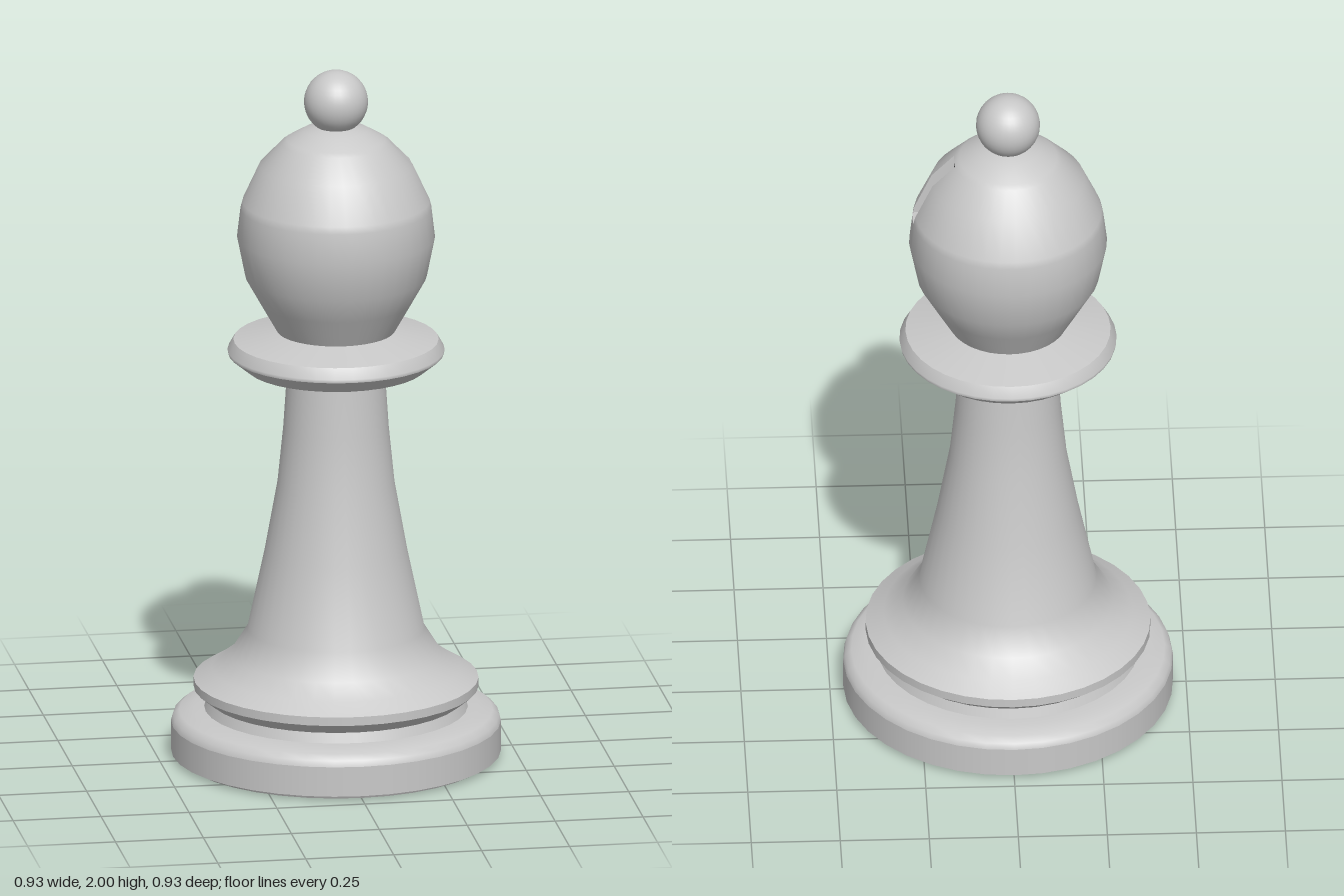
import * as THREE from 'three';

const SEGMENTS = 36;
const SLOT = { x: 0.15, halfWidth: 0.0275, bottom: 1.6, top: 1.79 };

export function createModel() {
  const model = new THREE.Group();
  model.name = 'chessBishop';

  const stone = new THREE.MeshStandardMaterial({ color: 0xc8c8c8 });
  stone.name = 'light grey';
  const shade = new THREE.MeshStandardMaterial({ color: 0x5a5a5a });
  shade.name = 'dark grey';

  const add = (name, geometry, material = stone, parent = model) => {
    const mesh = new THREE.Mesh(geometry, material);
    mesh.name = name;
    parent.add(mesh);
    return mesh;
  };
  const lathe = (points) =>
    new THREE.LatheGeometry(points.map(([r, y]) => new THREE.Vector2(r, y)), SEGMENTS);

  // Each part is a list of smooth bands; the edges between bands stay sharp
  const turned = (name, bands) => {
    const group = new THREE.Group();
    group.name = name;
    bands.forEach((band, i) => add(`${name}Band${i + 1}`, lathe(band), stone, group));
    model.add(group);
  };

  // Foot: bevelled disc with a rounded shoulder and a short neck
  turned('foot', [
    [[0, 0], [0.44, 0]],
    [[0.44, 0], [0.445, 0.01]],
    [[0.445, 0.01], [0.463, 0.012]],
    [[0.463, 0.012], [0.463, 0.098]],
    [[0.463, 0.098], [0.458, 0.115], [0.44, 0.13], [0.4, 0.138], [0.37, 0.14]],
    [[0.37, 0.14], [0.36, 0.168]],
  ]);

  // Stem: flared skirt rising into a tapered column
  turned('stem', [
    [[0.36, 0.168], [0.4, 0.2]],
    [[0.4, 0.2], [0.4, 0.225]],
    [[0.4, 0.225], [0.35, 0.255], [0.296, 0.295], [0.249, 0.37], [0.2, 0.6],
      [0.164, 0.8], [0.148, 0.96], [0.138, 1.11]],
  ]);

  // Collar: wide ring with sloped faces
  turned('collar', [
    [[0.13, 1.1], [0.254, 1.135]],
    [[0.254, 1.135], [0.303, 1.175]],
    [[0.303, 1.175], [0.305, 1.185], [0.288, 1.215]],
    [[0.288, 1.215], [0.13, 1.25]],
  ]);

  // Head: doubled rings at the slot ends let the surface open between them
  const upper = [[0.268, 1.6], [0.263, 1.62], [0.215, 1.725], [0.1525, 1.79]];
  const profile = [
    [0.165, 1.24], [0.213, 1.325], [0.255, 1.4], [0.278, 1.515],
    upper[0], ...upper, upper[3],
    [0.138, 1.8], [0.09, 1.828], [0.04, 1.842], [0, 1.845],
  ];
  const headGeometry = lathe(profile);
  const position = headGeometry.attributes.position;
  const normal = headGeometry.attributes.normal;
  const rings = profile.length;
  for (let i = 0; i < position.count; i++) {
    const ring = i % rings;
    const t = Math.floor(i / rings) / SEGMENTS;
    const [r, y] = profile[ring];
    const gap = ring >= 5 && ring <= 8 ? Math.asin(SLOT.halfWidth / r) : 0;
    const angle = Math.PI / 2 + gap + t * 2 * (Math.PI - gap);
    position.setXYZ(i, r * Math.sin(angle), y, r * Math.cos(angle));
    // Slope from the nearest rings at a different height
    const below = profile.filter((p) => p[1] < y).pop() || profile[ring];
    const above = profile.find((p) => p[1] > y) || [-below[0], below[1]];
    const n = new THREE.Vector2(above[1] - below[1], below[0] - above[0]).normalize();
    normal.setXYZ(i, n.x * Math.sin(angle), n.y, n.x * Math.cos(angle));
  }
  add('head', headGeometry);

  // Slot cut into the left of the head: two sides, a floor and a dark back wall
  const slot = new THREE.Group();
  slot.name = 'slot';
  model.add(slot);
  const outline = [[SLOT.x, SLOT.bottom],
    ...upper.map(([r, y]) => [Math.sqrt(r * r - SLOT.halfWidth ** 2), y])];
  const sideGeometry = new THREE.ShapeGeometry(
    new THREE.Shape(outline.map(([x, y]) => new THREE.Vector2(x, y))));
  for (const side of [-1, 1]) {
    const wall = add('slotSide', sideGeometry, stone, slot);
    wall.position.z = side * SLOT.halfWidth;
    wall.scale.z = -side;
  }
  const depth = upper[0][0] - SLOT.x;
  const floor = add('slotFloor', new THREE.PlaneGeometry(depth, SLOT.halfWidth * 2), stone, slot);
  floor.rotation.x = -Math.PI / 2;
  floor.position.set(SLOT.x + depth / 2, SLOT.bottom, 0);
  const height = SLOT.top - SLOT.bottom;
  const back = add('slotBack', new THREE.PlaneGeometry(SLOT.halfWidth * 2, height), shade, slot);
  back.rotation.y = Math.PI / 2;
  back.position.set(SLOT.x, SLOT.bottom + height / 2, 0);

  // Finial ball
  const ball = add('finial', new THREE.SphereGeometry(0.09, 32, 20));
  ball.position.y = 1.91;

  return model;
}
